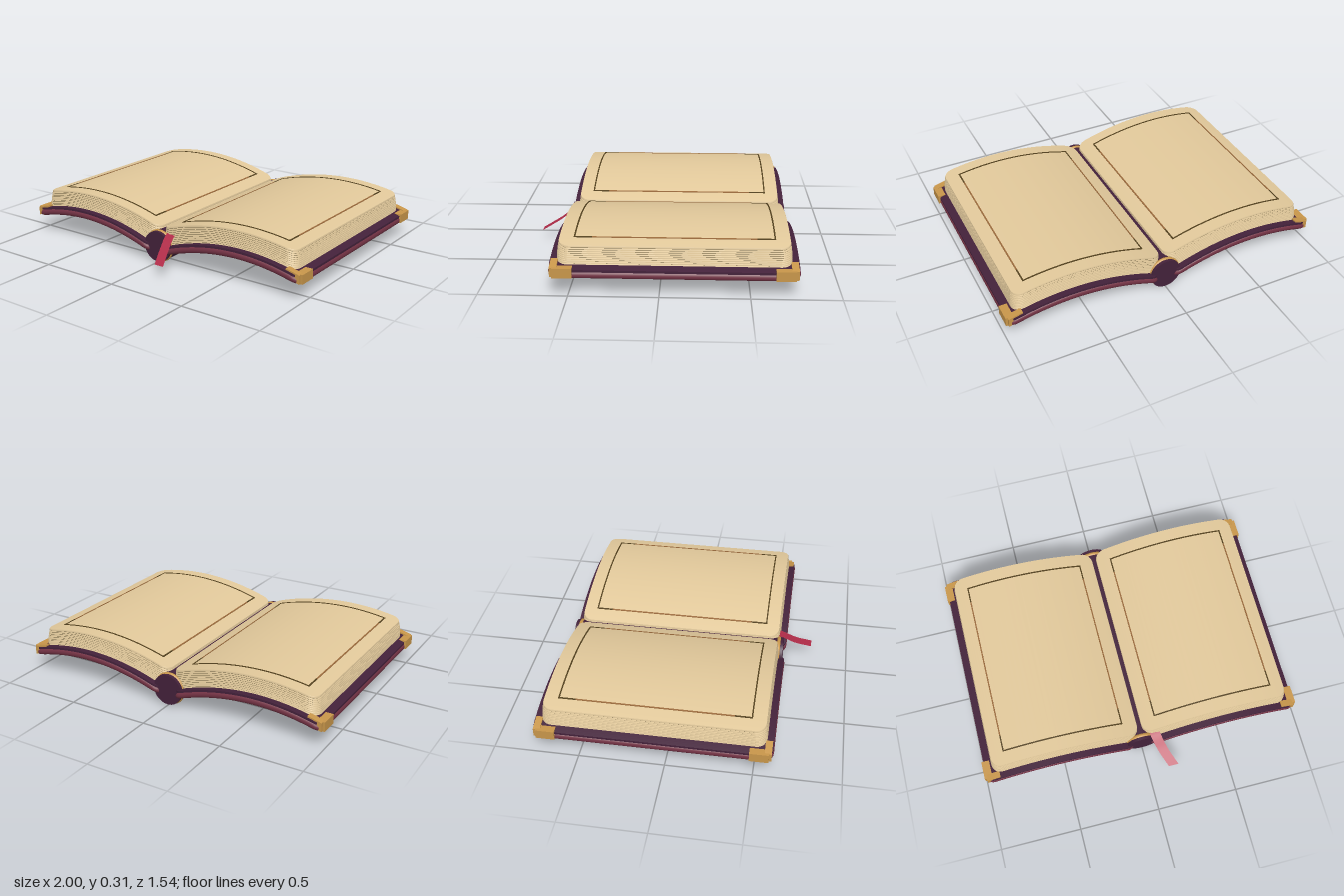
import * as THREE from 'three';

const mat = (name, color, side = THREE.FrontSide) => {
  const m = new THREE.MeshStandardMaterial({ color, side });
  m.name = name;
  return m;
};

const ZC = -0.08; // middle of the book along its length

// Heights along the width: underside of the cover, and top of the page block
const coverLow = x => 0.157 - 0.37 * (x - 0.58) ** 2;
const pageLow = x => coverLow(x) + 0.05;
const pageHigh = x => 0.312 - 0.33 * (x - 0.57) ** 2;

// A box bent between two height curves, with rounded plan corners (r)
// and an edge inset that varies with height t = 0..1
function slab({ s, x0, x1, z0, z1, lo, hi, r = 0, edge = () => 0, nx = 40, ny = 1 }) {
  const g = new THREE.BoxGeometry(1, 1, 1, nx, ny, 1);
  const p = g.attributes.position;
  const zMid = (z0 + z1) / 2, half = (z1 - z0) / 2;
  for (let i = 0; i < p.count; i++) {
    const t = p.getY(i) + 0.5;
    const e = edge(t);
    const k = 0.5 + 0.5 * Math.sin(Math.PI * p.getX(i) * s);
    const x = x0 + e + (x1 - x0 - 2 * e) * k;
    const d = Math.min(r, x - x0 - e, x1 - e - x);
    const w = half - e - (r - Math.sqrt(Math.max(0, r * r - (r - d) ** 2)));
    p.setXYZ(i, s * x, lo(x) + (hi(x) - lo(x)) * t, zMid + Math.sign(p.getZ(i)) * w);
  }
  g.computeVertexNormals();
  return g;
}

export function createModel() {
  const book = new THREE.Group();
  book.name = 'openBook';

  const maroon = mat('maroon leather', 0x733244);
  const purple = mat('dark purple lining', 0x43213a);
  const cream = mat('cream paper', 0xe2c99b);
  const gap = mat('page shadow line', 0x776846);
  const gold = mat('gold', 0xc8964a);
  const brown = mat('brown ink', 0x9a6a3c);
  const ink = mat('dark ink', 0x54421f);
  const crimson = mat('crimson ribbon', 0xb02c48, THREE.DoubleSide);

  const add = (name, geometry, material, parent = book) => {
    const m = new THREE.Mesh(geometry, material);
    m.name = name;
    parent.add(m);
    return m;
  };

  // Spine roll with a gold ring near each end
  const spine = add('spine', new THREE.CylinderGeometry(0.094, 0.094, 1.345, 40), purple);
  spine.rotation.x = Math.PI / 2;
  spine.position.set(0, 0.1, ZC);
  for (const e of [-1, 1]) {
    const ring = add('spineRing', new THREE.TorusGeometry(0.086, 0.014, 10, 40), gold);
    ring.position.set(0, 0.1, ZC + e * 0.643);
  }

  for (const s of [-1, 1]) {
    const side = new THREE.Group();
    side.name = s > 0 ? 'leftHalf' : 'rightHalf';
    book.add(side);

    // Cover board with a rounded edge, and its inner lining
    const board = { s, x0: 0.045, x1: 0.99, z0: ZC - 0.69, z1: ZC + 0.69, r: 0.05 };
    add('cover', slab({
      ...board, lo: coverLow, hi: x => coverLow(x) + 0.043, ny: 8,
      edge: t => 0.016 * (1 - Math.sqrt(Math.max(0, 1 - (2 * t - 1) ** 2)))
    }), maroon, side);
    add('coverLining', slab({
      ...board, lo: x => coverLow(x) + 0.04, hi: x => coverLow(x) + 0.053, edge: () => 0.004
    }), purple, side);

    // Page block: cream leaves separated by thin recessed lines
    const N = 10;
    const level = f => x => pageLow(x) + (pageHigh(x) - pageLow(x)) * f;
    for (let i = 0; i < N; i++) {
      const inset = 0.012 * (i / N) ** 2;
      const leaf = {
        s, x0: 0.01 + inset * 0.3, x1: 0.94 - inset, r: 0.06,
        z0: ZC - 0.648 + inset, z1: ZC + 0.648 - inset
      };
      add('pages', slab({
        ...leaf, lo: level(i / N), hi: level((i + 0.74) / N + (i === N - 1 ? 0.026 : 0)),
        ny: 2, edge: t => (t > 0.9 ? 0.002 : 0)
      }), cream, side);
      if (i < N - 1) {
        add('pageGap', slab({
          ...leaf, lo: level((i + 0.7) / N), hi: level((i + 1.02) / N), edge: () => 0.004
        }), gap, side);
      }
    }

    // Ruled border on the open page
    const rule = (name, x0, x1, z0, z1, m) => add(name, slab({
      s, x0, x1, z0, z1, lo: x => pageHigh(x) - 0.002, hi: x => pageHigh(x) + 0.003,
      nx: x1 - x0 > 0.1 ? 30 : 1
    }), m, side);
    for (const e of [-1, 1]) {
      const z = ZC + e * 0.553;
      rule('borderLine', 0.1, 0.848, z - 0.004, z + 0.004, ink);
    }
    for (const x of [0.104, 0.844]) {
      rule('borderSide', x - 0.004, x + 0.004, ZC - 0.455, ZC + 0.455, brown);
      rule('borderCorner', x - 0.004, x + 0.004, ZC - 0.555, ZC - 0.455, ink);
      rule('borderCorner', x - 0.004, x + 0.004, ZC + 0.455, ZC + 0.555, ink);
    }

    // Gold corner guards: one bar along the fore edge, one across the end
    for (const e of [-1, 1]) {
      const bar = add('cornerGuard', new THREE.BoxGeometry(0.048, 0.056, 0.11), gold, side);
      bar.position.set(s * 0.974, 0.132, ZC + e * 0.61);
      const a = ZC + e * 0.64, b = ZC + e * 0.68;
      add('cornerGuardEnd', slab({
        s, x0: 0.9, x1: 0.985, z0: Math.min(a, b), z1: Math.max(a, b), nx: 6,
        lo: x => coverLow(x) + 0.01, hi: x => coverLow(x) + 0.062
      }), gold, side);
    }
  }

  // Ribbon bookmark falling out of the front end
  const path = new THREE.CatmullRomCurve3([
    new THREE.Vector3(0.08, 0.19, 0.46), new THREE.Vector3(0.084, 0.187, 0.56),
    new THREE.Vector3(0.113, 0.125, 0.665), new THREE.Vector3(0.157, 0.073, 0.768)
  ]);
  const ribbon = new THREE.PlaneGeometry(1, 1, 1, 20);
  const rp = ribbon.attributes.position;
  for (let i = 0; i < rp.count; i++) {
    const c = path.getPoint(0.5 - rp.getY(i));
    rp.setXYZ(i, c.x + rp.getX(i) * 0.062, c.y, c.z);
  }
  ribbon.computeVertexNormals();
  add('ribbon', ribbon, crimson);

  return book;
}
